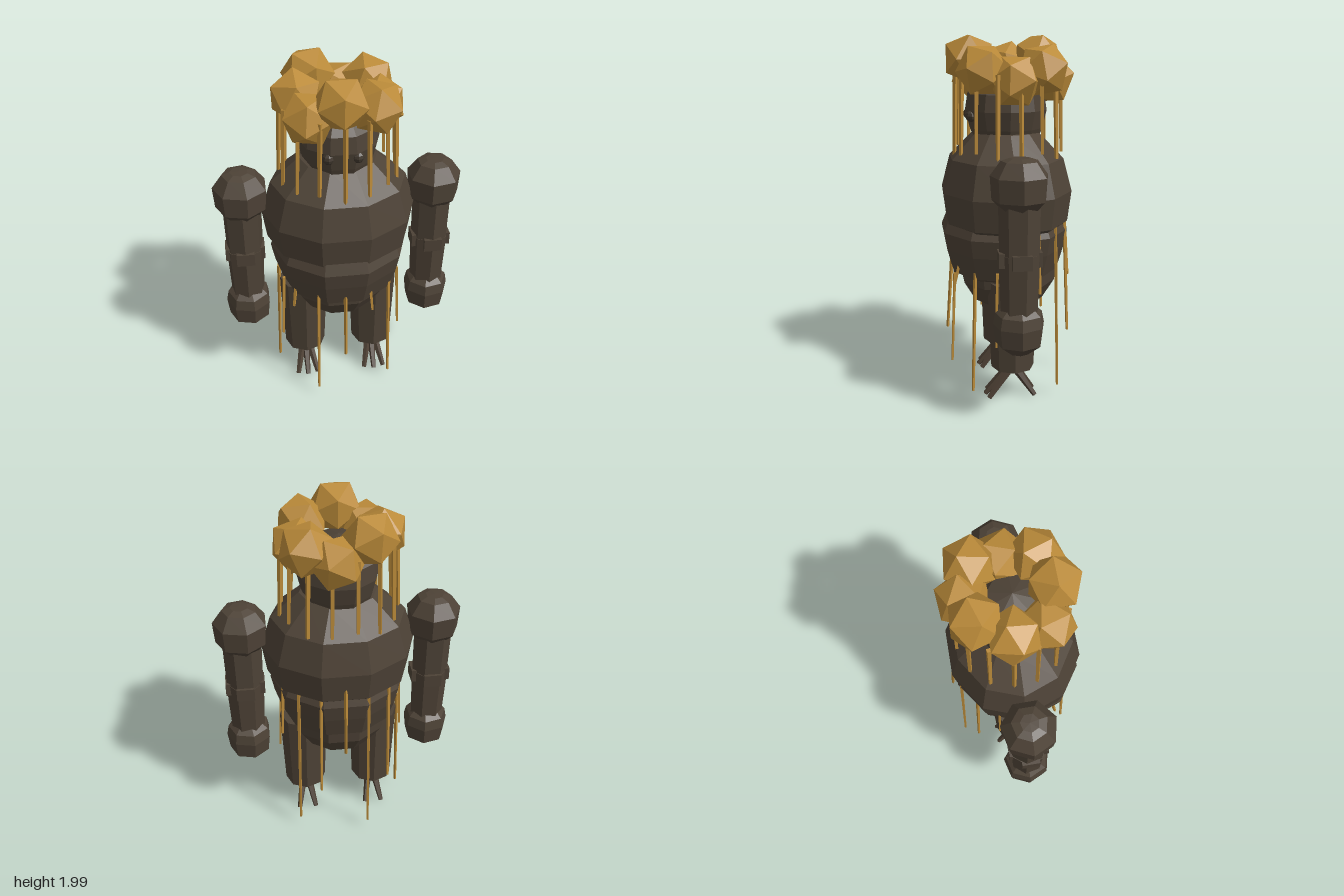
import * as THREE from 'three';

export function createModel() {
  const root = new THREE.Group();
  const mat = (name, color) => {
    const m = new THREE.MeshStandardMaterial({ color, flatShading: true });
    m.name = name;
    return m;
  };
  const bark = mat('bark', 0x4d4236);
  const darkBark = mat('dark bark', 0x40372d);
  const rootBrown = mat('root brown', 0x4d4034);
  const gold = mat('golden leaf', 0xba8a39);

  const add = (parent, name, geo, material, pos = [0, 0, 0], scale = [1, 1, 1]) => {
    const m = new THREE.Mesh(geo, material);
    m.name = name;
    m.position.set(...pos);
    m.scale.set(...scale);
    parent.add(m);
    return m;
  };
  // Faceted solid of revolution, profile listed from bottom to top
  const turned = (profile, sides, start = 0) =>
    new THREE.LatheGeometry(profile.map(([r, y]) => new THREE.Vector2(r, y)), sides, start);
  // Tapered stick between two points
  const stick = (parent, name, a, b, ra, rb, sides, material) => {
    const p = new THREE.Vector3(...a), q = new THREE.Vector3(...b);
    const d = q.clone().sub(p);
    const m = add(parent, name, new THREE.CylinderGeometry(rb, ra, d.length(), sides), material);
    m.position.copy(p).add(q).multiplyScalar(0.5);
    m.quaternion.setFromUnitVectors(new THREE.Vector3(0, 1, 0), d.normalize());
  };

  // Torso: chest, belly and pelvis overlap as three lumps
  const side = Math.PI / 2;
  add(root, 'chest', turned([[0, 0.9], [0.3, 0.92], [0.4, 0.99], [0.425, 1.16], [0.37, 1.34],
    [0.21, 1.48], [0, 1.5]], 10, side), bark, [0, 0, 0.012], [1, 1, 0.865]);
  add(root, 'belly', turned([[0, 0.67], [0.27, 0.685], [0.325, 0.71], [0.365, 0.84], [0.385, 0.94],
    [0.35, 1.02], [0, 1.04]], 10, side), bark, [0, 0, 0.025], [1, 1, 0.935]);
  add(root, 'pelvis', turned([[0, 0.455], [0.1, 0.47], [0.21, 0.53], [0.28, 0.64], [0.29, 0.73],
    [0, 0.78]], 10, side), bark, [0, 0, 0], [1, 1, 0.96]);

  // Head with small round eyes
  add(root, 'head', turned([[0, 1.42], [0.19, 1.45], [0.21, 1.5], [0.235, 1.6], [0.22, 1.69],
    [0.13, 1.78], [0, 1.81]], 10, side), bark, [0, 0, 0.012], [0.94, 1, 0.97]);

  for (const s of [1, -1]) {
    add(root, 'eye', new THREE.SphereGeometry(0.032, 8, 6), darkBark, [s * 0.076, 1.572, 0.207]);

    // Arm: shoulder ball, tapered limb, elbow knots, fist
    const arm = new THREE.Group();
    arm.name = s > 0 ? 'leftArm' : 'rightArm';
    arm.position.set(s * 0.53, 0, 0.01);
    root.add(arm);
    add(arm, 'shoulder', turned([[0, -0.13], [0.1, -0.125], [0.142, -0.08], [0.15, 0.04],
      [0.095, 0.115], [0.05, 0.13], [0, 0.132]], 7, s * side), bark, [0, 1.285, 0]);
    add(arm, 'upperArm', new THREE.CylinderGeometry(0.11, 0.104, 0.36, 7), bark, [0, 1.07, 0]);
    add(arm, 'forearm', new THREE.CylinderGeometry(0.108, 0.094, 0.38, 7), bark, [0, 0.74, 0]);
    for (let i = 0; i < 4; i++) {
      const a = i * side;
      const knot = add(arm, 'elbowKnot', new THREE.BoxGeometry(0.1, 0.075, 0.04), bark,
        [0.09 * Math.sin(a), 0.905, 0.09 * Math.cos(a)]);
      knot.rotation.y = a;
    }
    add(arm, 'fist', turned([[0, -0.13], [0.05, -0.125], [0.118, -0.07], [0.13, 0.03],
      [0.118, 0.09], [0.08, 0.125], [0, 0.13]], 7, s * side), bark, [0, 0.52, 0], [1, 1, 1.05]);

    // Leg with splayed root toes
    const leg = new THREE.Group();
    leg.name = s > 0 ? 'leftLeg' : 'rightLeg';
    leg.position.set(s * 0.205, 0, 0);
    root.add(leg);
    add(leg, 'thigh', new THREE.CylinderGeometry(0.14, 0.12, 0.5, 8), bark, [0, 0.43, 0]);
    for (const [x, z] of [[-0.06, 0.14], [0, 0.155], [0.06, 0.14], [-0.05, -0.12], [0.05, -0.12]])
      stick(leg, 'toe', [x * 0.2, 0.19, 0], [x, 0.015, z], 0.026, 0.014, 5, rootBrown);
  }

  // Crown of faceted leaf clumps: x, y, z
  const clumps = [[-0.01, 1.873, 0.21], [0.175, 1.82, 0.155], [0.215, 1.765, -0.01],
    [0.18, 1.82, -0.165], [0.03, 1.765, -0.22], [-0.135, 1.867, -0.185],
    [-0.215, 1.82, -0.02], [-0.165, 1.775, 0.155]];
  clumps.forEach((p, i) => {
    const m = add(root, 'leafClump', new THREE.IcosahedronGeometry(0.145, 0), gold, p);
    m.rotation.set(i * 0.7, i * 1.3, i * 0.4);
  });

  // Strands hanging under the crown
  const count = 15;
  for (let i = 0; i < count; i++) {
    const a = i / count * Math.PI * 2, x = Math.sin(a), z = Math.cos(a);
    stick(root, 'crownStrand', [x * 0.3, 1.8, z * 0.285],
      [x * 0.32, 1.35 + 0.02 * (i % 3), z * 0.295], 0.014, 0.011, 4, gold);
  }

  // Strands around the waist, in three repeating lengths; those behind start higher
  const waistAngles = [0, 25, 49, 72, 112, 135, 158, 180, 202, 226, 250, 270, 290, 310, 335];
  const waistEnds = [0.35, 0.64, 0.07];
  waistAngles.forEach((deg, i) => {
    const a = THREE.MathUtils.degToRad(deg), x = Math.sin(a), z = Math.cos(a);
    const top = z < -0.1 ? 1.06 : 0.76;
    const end = waistEnds[i % 3];
    stick(root, 'waistStrand', [x * 0.345, top, z * 0.32],
      [x * 0.365, end, z * 0.35], 0.011, 0.008, 4, gold);
  });
  return root;
}
